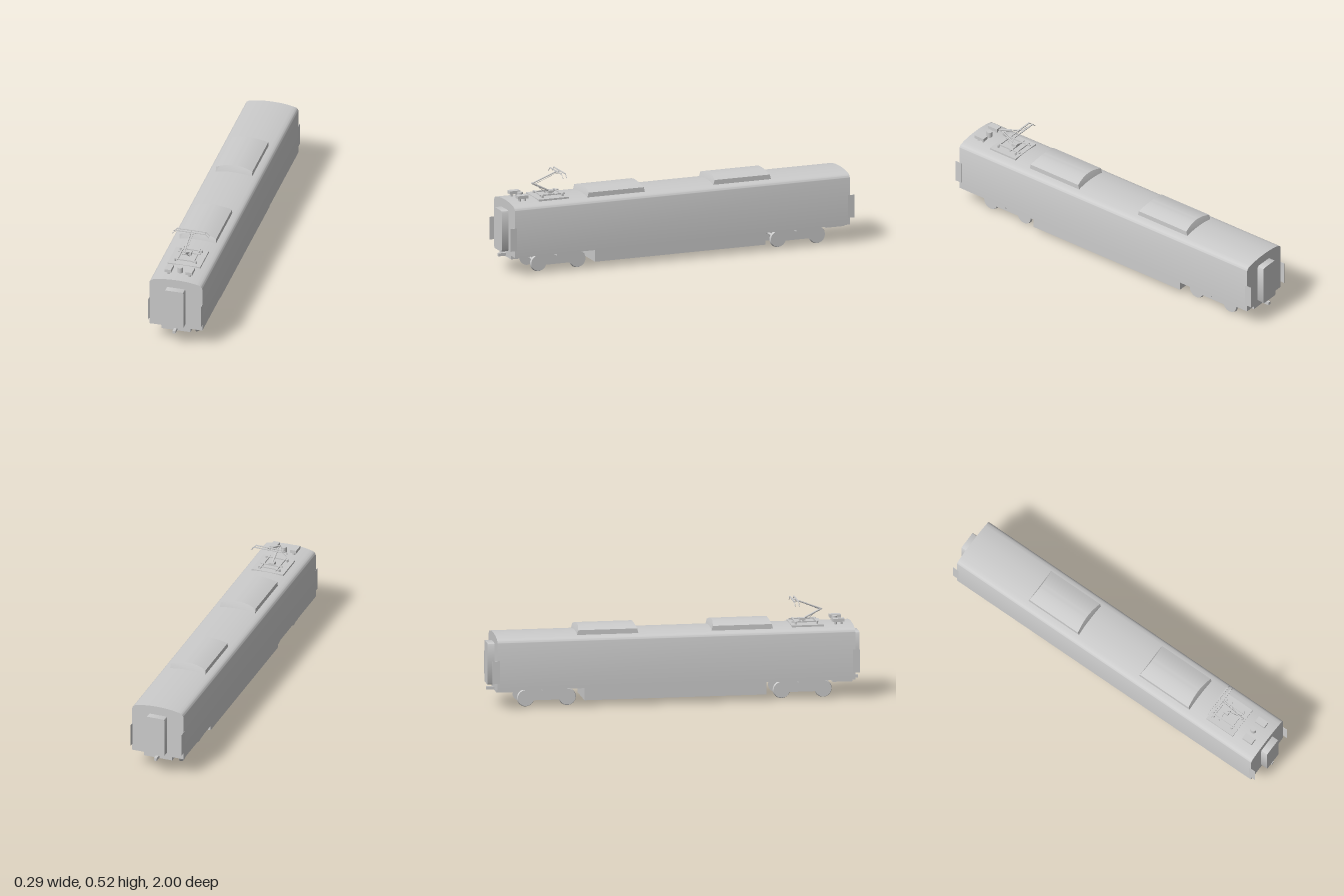
import * as THREE from 'three';
import { toCreasedNormals } from 'three/addons/utils/BufferGeometryUtils.js';

const grey = new THREE.MeshStandardMaterial({ color: 0xcccccc, side: THREE.DoubleSide });

export function createModel() {
  const root = new THREE.Group();

  const add = (name, geo, parent = root, x = 0, y = 0, z = 0) => {
    const m = new THREE.Mesh(geo, grey);
    m.name = name;
    m.position.set(x, y, z);
    parent.add(m);
    return m;
  };
  // Box given by its extents
  const box = (name, x0, x1, y0, y1, z0, z1, parent = root) =>
    add(name, new THREE.BoxGeometry(x1 - x0, y1 - y0, z1 - z0), parent,
      (x0 + x1) / 2, (y0 + y1) / 2, (z0 + z1) / 2);
  // Upright cylinder standing on y0
  const post = (name, r, x, y0, y1, z, parent = root) =>
    add(name, new THREE.CylinderGeometry(r, r, y1 - y0, 16), parent, x, (y0 + y1) / 2, z);
  // Round rod between two points
  const rod = (name, a, b, r, parent = root) => {
    const p = new THREE.Vector3(...a), q = new THREE.Vector3(...b);
    const m = add(name, new THREE.CylinderGeometry(r, r, p.distanceTo(q), 8), parent);
    m.position.copy(p).add(q).multiplyScalar(0.5);
    m.quaternion.setFromUnitVectors(new THREE.Vector3(0, 1, 0), q.sub(p).normalize());
    return m;
  };
  const extrude = (shape, z0, z1) =>
    new THREE.ExtrudeGeometry(shape, { depth: z1 - z0, bevelEnabled: false, curveSegments: 10 }).translate(0, 0, z0);

  // Car body with rounded shoulders and a shallow arched roof
  const body = new THREE.Shape();
  body.moveTo(-0.146, 0.103);
  body.lineTo(0.146, 0.103);
  body.lineTo(0.146, 0.352);
  body.bezierCurveTo(0.146, 0.363, 0.138, 0.373, 0.126, 0.377);
  body.bezierCurveTo(0.08, 0.388, 0.04, 0.391, 0, 0.391);
  body.bezierCurveTo(-0.04, 0.391, -0.08, 0.388, -0.126, 0.377);
  body.bezierCurveTo(-0.138, 0.373, -0.146, 0.363, -0.146, 0.352);
  add('carBody', toCreasedNormals(extrude(body, -0.962, 0.962), 0.6));

  // Equipment skirt under the floor, open below
  const skirt = new THREE.Group();
  skirt.name = 'underfloorSkirt';
  root.add(skirt);
  for (const s of [-1, 1]) {
    add('skirtSide', new THREE.PlaneGeometry(0.98, 0.072).rotateY(s * Math.PI / 2), skirt, s * 0.116, 0.067, 0);
    add('skirtEnd', new THREE.PlaneGeometry(0.232, 0.072).rotateY(s > 0 ? 0 : Math.PI), skirt, 0, 0.067, s * 0.49);
  }

  // Gangway door outline with rounded corners
  const gang = new THREE.Shape();
  const w = 0.053, b = 0.118, t = 0.342, r = 0.012;
  gang.absarc(w - r, b + r, r, -Math.PI / 2, 0);
  gang.absarc(w - r, t - r, r, 0, Math.PI / 2);
  gang.absarc(-w + r, t - r, r, Math.PI / 2, Math.PI);
  gang.absarc(-w + r, b + r, r, Math.PI, Math.PI * 1.5);
  const gangGeo = toCreasedNormals(extrude(gang, 0.955, 1.0), 0.6);

  for (const s of [1, -1]) {
    // Each car end: gangway, coupler, end beam and side guards
    const end = new THREE.Group();
    end.name = s > 0 ? 'frontEnd' : 'rearEnd';
    end.rotation.y = s > 0 ? 0 : Math.PI;
    root.add(end);
    add('gangway', gangGeo, end);
    box('coupler', -0.008, 0.008, 0.084, 0.1, 0.9, 1.0, end);
    box('endBeam', -0.08, 0.08, 0.08, 0.104, 0.85, 0.957, end);
    for (const k of [-1, 1])
      box('sideGuard', k * 0.1455 - 0.001, k * 0.1455 + 0.001, 0.14, 0.264, 0.95, 0.988, end);

    // Bogie: side frames, bolster, axles and wheels
    const bogie = new THREE.Group();
    bogie.name = s > 0 ? 'frontBogie' : 'rearBogie';
    bogie.position.z = s * 0.688;
    root.add(bogie);
    box('bolster', -0.139, 0.139, 0.09, 0.104, -0.03, 0.03, bogie);
    for (const k of [-1, 1])
      box('sideFrame', k * 0.082 - 0.005, k * 0.082 + 0.005, 0.034, 0.103, -0.112, 0.112, bogie);
    for (const z of [-0.112, 0.112]) {
      rod('axle', [-0.08, 0.047, z], [0.08, 0.047, z], 0.007, bogie);
      for (const k of [-1, 1]) {
        const wheel = new THREE.CylinderGeometry(0.043, 0.047, 0.011, 32).rotateZ(-k * Math.PI / 2);
        add('wheel', wheel, bogie, k * 0.08, 0.047, z);
      }
    }

    // Arched roof unit with sloping ends
    const arch = new THREE.Shape();
    arch.moveTo(-0.1, 0.375);
    arch.lineTo(0.1, 0.375);
    arch.lineTo(0.1, 0.408);
    arch.bezierCurveTo(0.06, 0.423, 0.03, 0.428, 0, 0.428);
    arch.bezierCurveTo(-0.03, 0.428, -0.06, 0.423, -0.1, 0.408);
    const pod = extrude(arch, -0.167, 0.167);
    const p = pod.attributes.position;
    for (let i = 0; i < p.count; i++)
      p.setZ(i, Math.sign(p.getZ(i)) * (0.167 - Math.max(0, p.getY(i) - 0.39) * 0.45));
    add('roofUnit', toCreasedNormals(pod, 0.5), root, 0, 0, s * 0.362);
  }

  // Electrical gear on the roof ahead of the pantograph
  for (const k of [-1, 1]) {
    box('roofBox', k * 0.058 - 0.018, k * 0.058 + 0.018, 0.403, 0.42, 0.855, 0.915);
    for (const z of [0.87, 0.9]) post('roofBoxFoot', 0.007, k * 0.058, 0.382, 0.405, z);
  }
  post('roofInsulator', 0.015, 0, 0.385, 0.422, 0.873);

  // Pantograph
  const panto = new THREE.Group();
  panto.name = 'pantograph';
  root.add(panto);
  box('basePlate', -0.09, 0.09, 0.382, 0.394, 0.63, 0.802, panto);
  for (const k of [-1, 1]) {
    for (const z of [0.655, 0.77]) post('baseInsulator', 0.006, k * 0.058, 0.39, 0.408, z, panto);
    box('baseRail', k * 0.045 - 0.004, k * 0.045 + 0.004, 0.401, 0.408, 0.635, 0.78, panto);
    rod('headBrace', [0, 0.507, 0.672], [k * 0.05, 0.516, 0.655], 0.0015, panto);
  }
  for (const z of [0.655, 0.69, 0.77])
    box('baseCrossbar', -0.062, 0.062, 0.402, 0.408, z - 0.004, z + 0.004, panto);
  box('armPivot', -0.015, 0.015, 0.402, 0.417, 0.685, 0.715, panto);
  rod('lowerArm', [0, 0.411, 0.7], [0, 0.463, 0.802], 0.005, panto);
  rod('controlRod', [0.01, 0.408, 0.73], [0.007, 0.458, 0.788], 0.002, panto);
  rod('kneeJoint', [-0.008, 0.463, 0.802], [0.008, 0.463, 0.802], 0.005, panto);
  rod('upperArm', [0, 0.463, 0.802], [0, 0.515, 0.665], 0.004, panto);
  rod('guideRod', [0.007, 0.46, 0.79], [0.013, 0.513, 0.665], 0.0015, panto);
  rod('headPivot', [0, 0.516, 0.645], [0, 0.516, 0.672], 0.003, panto);
  for (const z of [0.646, 0.668]) {
    box('contactStrip', -0.08, 0.08, 0.517, 0.521, z - 0.004, z + 0.004, panto);
    for (const k of [-1, 1]) rod('horn', [k * 0.079, 0.519, z], [k * 0.101, 0.498, z], 0.002, panto);
  }
  return root;
}
